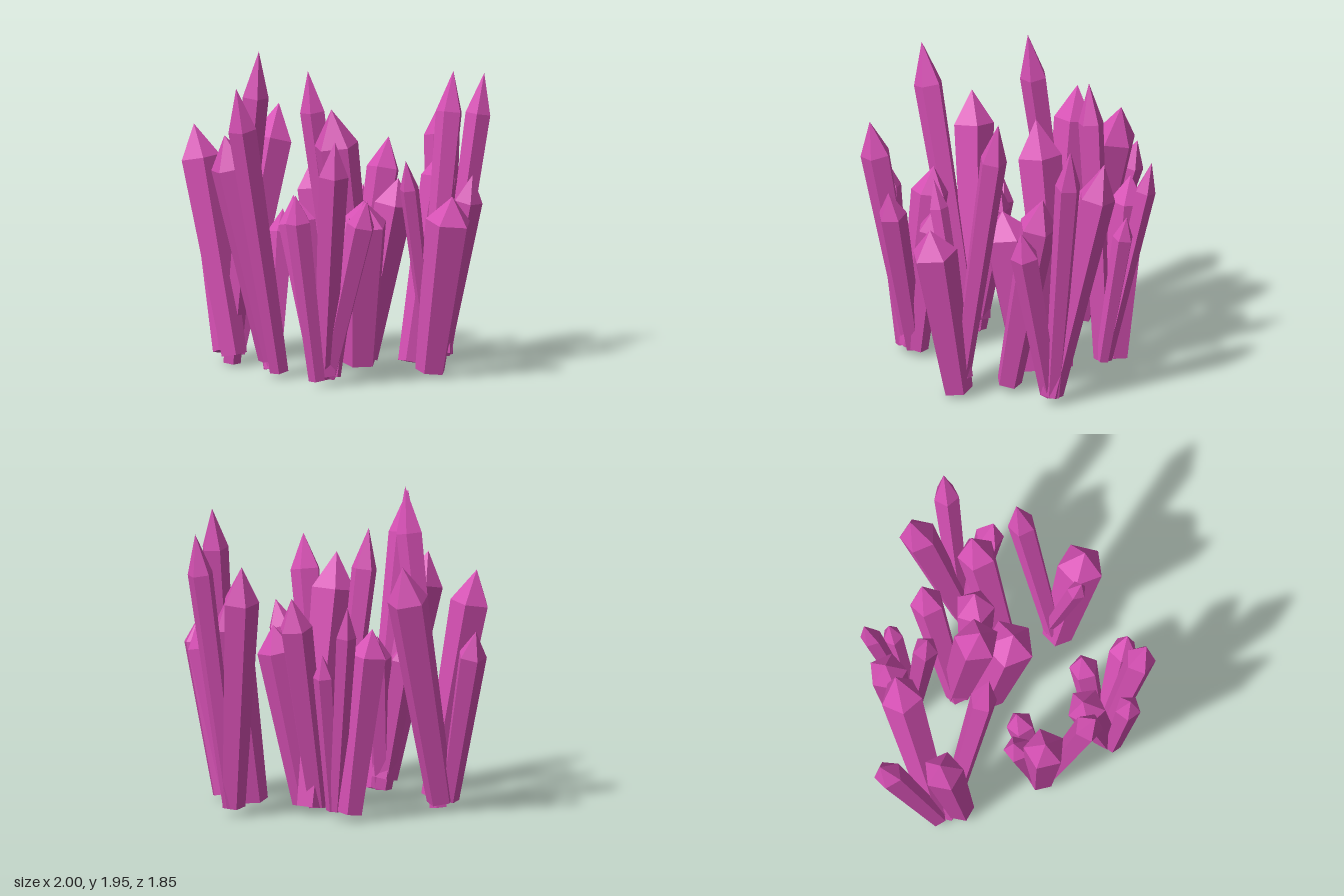
import * as THREE from 'three';

// Each crystal: base x, y, z, tip x, y, z, shoulder radius, twist about its axis
const clusters = {
  leftSideCluster: [
    [0.66, 0.15, -0.13, 0.62, 1.85, -0.41, 0.085, 0.3],
    [0.65, 0.13, -0.16, 0.68, 1.36, 0.1, 0.06, 0.1],
    [0.69, 0.05, -0.12, 0.89, 1.14, -0.09, 0.145, 0.3],
  ],
  rightSideCluster: [
    [-0.63, 0.07, 0.2, -0.6, 1.56, -0.2, 0.13, 0.6],
    [-0.67, 0.08, 0.24, -0.97, 1.16, 0.05, 0.09, 0.3],
    [-0.53, 0.08, 0.3, -0.78, 1.48, 0.38, 0.125, 0.9],
    [-0.59, 0.02, 0.25, -0.31, 1.96, 0.32, 0.085, 0.9],
  ],
  backRightCluster: [
    [-0.36, 0.06, -0.41, -0.5, 1.2, -0.39, 0.12, 0.9],
    [-0.26, 0.07, -0.42, -0.46, 1.36, -0.62, 0.065, 0.1],
    [-0.24, 0.07, -0.42, -0.27, 1.05, -0.6, 0.065, 0.7],
    [-0.25, 0.07, -0.4, -0.35, 1.78, -0.18, 0.08, 0.5],
  ],
  centreCluster: [
    [-0.03, 0.06, -0.25, -0.03, 1.37, -0.56, 0.105, 0.3],
    [0.07, 0.06, -0.22, 0.22, 1.16, -0.36, 0.125, 0.8],
    [0.0, 0.05, -0.28, -0.04, 1.59, -0.04, 0.14, 0.0],
    [0.11, 0.04, -0.13, 0.23, 1.06, -0.03, 0.16, 0.3],
  ],
  backLeftCluster: [
    [0.36, 0.07, -0.6, 0.15, 1.59, -0.85, 0.115, 0.2],
    [0.36, 0.07, -0.62, 0.46, 1.77, -0.88, 0.08, 0.6],
    [0.36, 0.07, -0.59, 0.61, 1.19, -0.6, 0.09, 0.9],
    [0.4, 0.06, -0.27, 0.41, 1.35, -0.58, 0.12, 0.3],
  ],
  frontCluster: [
    [-0.05, 0.12, 0.5, -0.23, 1.5, 0.73, 0.13, 0.1],
    [0.01, 0.05, 0.5, 0.02, 1.83, 0.91, 0.09, 0.7],
    [-0.04, 0.06, 0.5, -0.1, 1.02, 0.34, 0.085, 0.4],
    [-0.05, 0.06, 0.49, -0.24, 1.0, 0.46, 0.085, 0.2],
  ],
  frontLeftCluster: [
    [0.43, 0.06, 0.54, 0.7, 1.16, 0.48, 0.09, 0.3],
    [0.42, 0.06, 0.56, 0.64, 1.54, 0.71, 0.095, 0.8],
    [0.43, 0.05, 0.63, 0.41, 1.2, 0.81, 0.08, 0.5],
    [0.43, 0.06, 0.5, 0.44, 1.02, 0.35, 0.09, 0.1],
    [0.43, 0.06, 0.57, 0.21, 1.16, 0.6, 0.12, 0.6],
  ],
};

const SIDES = 5;
const UP = new THREE.Vector3(0, 1, 0);

// Five-sided shaft widening upwards, closed by a pointed cap
function makeCrystal([bx, by, bz, tx, ty, tz, radius, twist], material) {
  const base = new THREE.Vector3(bx, by, bz);
  const axis = new THREE.Vector3(tx, ty, tz).sub(base);
  const length = axis.length();
  const shoulder = length * 0.855;
  const crystal = new THREE.Group();
  crystal.name = 'crystal';

  const shaftGeometry = new THREE.CylinderGeometry(radius, radius * 0.66, shoulder, SIDES);
  shaftGeometry.translate(0, shoulder / 2, 0);
  const shaft = new THREE.Mesh(shaftGeometry, material);
  shaft.name = 'crystalShaft';

  const pointGeometry = new THREE.ConeGeometry(radius, length - shoulder, SIDES, 1, true);
  pointGeometry.translate(0, (length + shoulder) / 2, 0);
  const point = new THREE.Mesh(pointGeometry, material);
  point.name = 'crystalPoint';

  shaft.rotation.y = point.rotation.y = twist;
  crystal.add(shaft, point);
  crystal.position.copy(base);
  crystal.quaternion.setFromUnitVectors(UP, axis.normalize());
  return crystal;
}

export function createModel() {
  const material = new THREE.MeshStandardMaterial({ color: 0xd650b4, flatShading: true });
  const model = new THREE.Group();
  model.name = 'crystalClusters';
  for (const [name, crystals] of Object.entries(clusters)) {
    const cluster = new THREE.Group();
    cluster.name = name;
    for (const spec of crystals) cluster.add(makeCrystal(spec, material));
    model.add(cluster);
  }
  return model;
}
